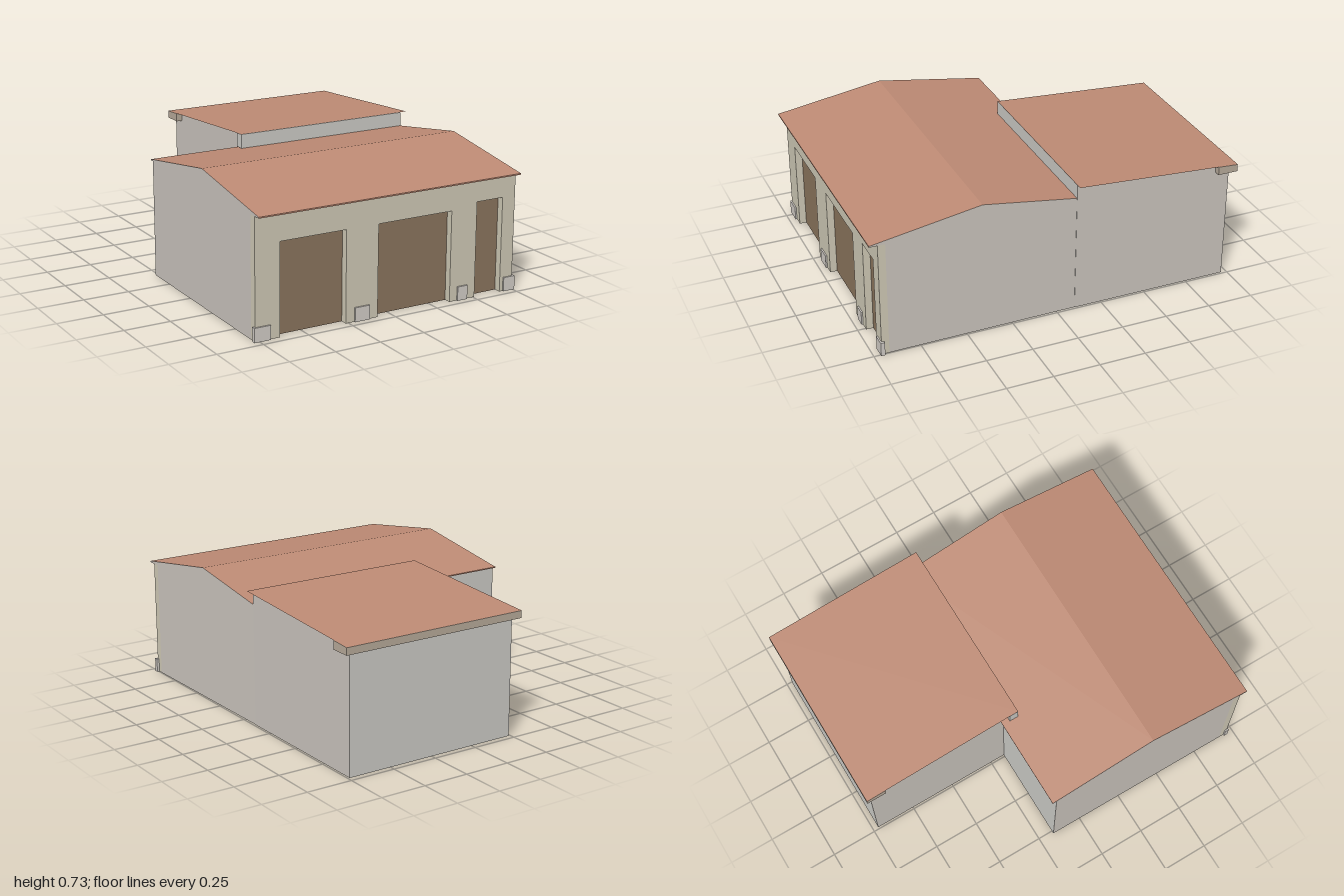
import * as THREE from 'three';

const mat = (color, side = THREE.FrontSide) => new THREE.MeshStandardMaterial({ color, side, flatShading: true });

export function createModel() {
  const model = new THREE.Group();
  const sideWall = mat(0xc8c2bb), endWall = mat(0xcac9c4), frontWall = mat(0xcdc7b4);
  const plinthMat = mat(0xcfcac4), doorMat = mat(0x89735c), fasciaMat = mat(0xb5a898);
  const roofMat = mat(0xbd8a74), thinRoofMat = mat(0xbd8a74, THREE.DoubleSide);

  const add = (name, geometry, material) => {
    const mesh = new THREE.Mesh(geometry, material);
    mesh.name = name;
    model.add(mesh);
    return mesh;
  };
  const box = (name, x0, x1, y0, y1, z0, z1, material) => {
    const g = new THREE.BoxGeometry(x1 - x0, y1 - y0, z1 - z0);
    g.translate((x0 + x1) / 2, (y0 + y1) / 2, (z0 + z1) / 2);
    return add(name, g, material);
  };
  // Extrudes a [z, y] side profile from x0 to x1; materials are [x ends, other faces]
  const profile = (name, points, x0, x1, materials) => {
    const shape = new THREE.Shape(points.map(([z, y]) => new THREE.Vector2(-z, y)));
    const g = new THREE.ExtrudeGeometry(shape, { depth: x1 - x0, bevelEnabled: false });
    g.rotateY(Math.PI / 2).translate(x0, 0, 0);
    return add(name, g, materials);
  };
  // The main block narrows slightly towards the back
  const taper = (mesh) => {
    const p = mesh.geometry.attributes.position;
    for (let i = 0; i < p.count; i++) {
      const t = (1 - p.getZ(i)) / 1.19;
      p.setX(i, p.getX(i) + (p.getX(i) > 0 ? -0.01 : 0.007) * t);
    }
    mesh.geometry.computeVertexNormals();
  };

  const L = -0.772, R = 0.747, EAVE = 0.63, DOOR_Z = 0.917, FRONT_Z = 0.957;

  // Main block and its gabled roof
  taper(profile('mainBody', [[DOOR_Z, 0], [DOOR_Z, EAVE], [-0.167, EAVE], [-0.167, 0]], L, R, [sideWall, endWall]));
  taper(profile('mainRoof', [[1, EAVE], [1, 0.637], [0.41, 0.73], [-0.19, 0.636], [-0.19, EAVE]], L, R, [sideWall, roofMat]));

  // Front wall with three door openings reaching the ground
  const doors = [[-0.635, -0.265, 0.485], [-0.08, 0.355, 0.485], [0.51, 0.67, 0.51]];
  const outline = new THREE.Shape().moveTo(L, 0);
  for (const [x0, x1, h] of doors) {
    outline.lineTo(x0, 0).lineTo(x0, h).lineTo(x1, h).lineTo(x1, 0);
  }
  outline.lineTo(R, 0).lineTo(R, EAVE).lineTo(L, EAVE).closePath();
  const wall = new THREE.ExtrudeGeometry(outline, { depth: FRONT_Z - DOOR_Z, bevelEnabled: false });
  wall.translate(0, 0, DOOR_Z);
  taper(add('frontWall', wall, frontWall));

  // Door panels at the back of the openings
  for (const [x0, x1, h] of doors) box('door', x0, x1, 0, h, DOOR_Z - 0.01, DOOR_Z + 0.002, doorMat);

  // Small plinths at the foot of the piers
  for (const [x0, x1] of [[-0.78, -0.69], [-0.215, -0.13], [0.4, 0.46], [0.69, 0.76]]) {
    box('plinth', x0, x1, 0, 0.075, 0.943, 0.965, plinthMat);
  }

  // Rear block with a sloping top
  profile('rearBody', [[-0.102, 0], [-0.102, 0.726], [-0.97, 0.67], [-0.97, 0]], -0.24, 0.74, [sideWall, endWall]);

  // Thin rear roof sloping down to the back
  const roof = new THREE.PlaneGeometry(1.05, Math.hypot(0.9, 0.058));
  roof.rotateX(-Math.PI / 2 + Math.atan2(0.058, 0.9) * -1);
  if (roof.attributes.position.getY(0) > 0) roof.scale(1, -1, 1);
  roof.translate(0.25, 0.699, -0.55);
  roof.computeVertexNormals();
  add('rearRoof', roof, thinRoofMat);

  // Boxed eave along the back, returning at both corners
  profile('rearEave', [[-1, EAVE], [-1, 0.669], [-0.89, 0.676], [-0.89, EAVE]], -0.275, 0.775, [fasciaMat, fasciaMat]);

  // Short return at the front corner of the rear roof
  profile('roofReturn', [[-0.101, 0.65], [-0.101, 0.727], [-0.15, 0.724], [-0.15, 0.65]], -0.275, -0.235, [endWall, endWall]);

  return model;
}
